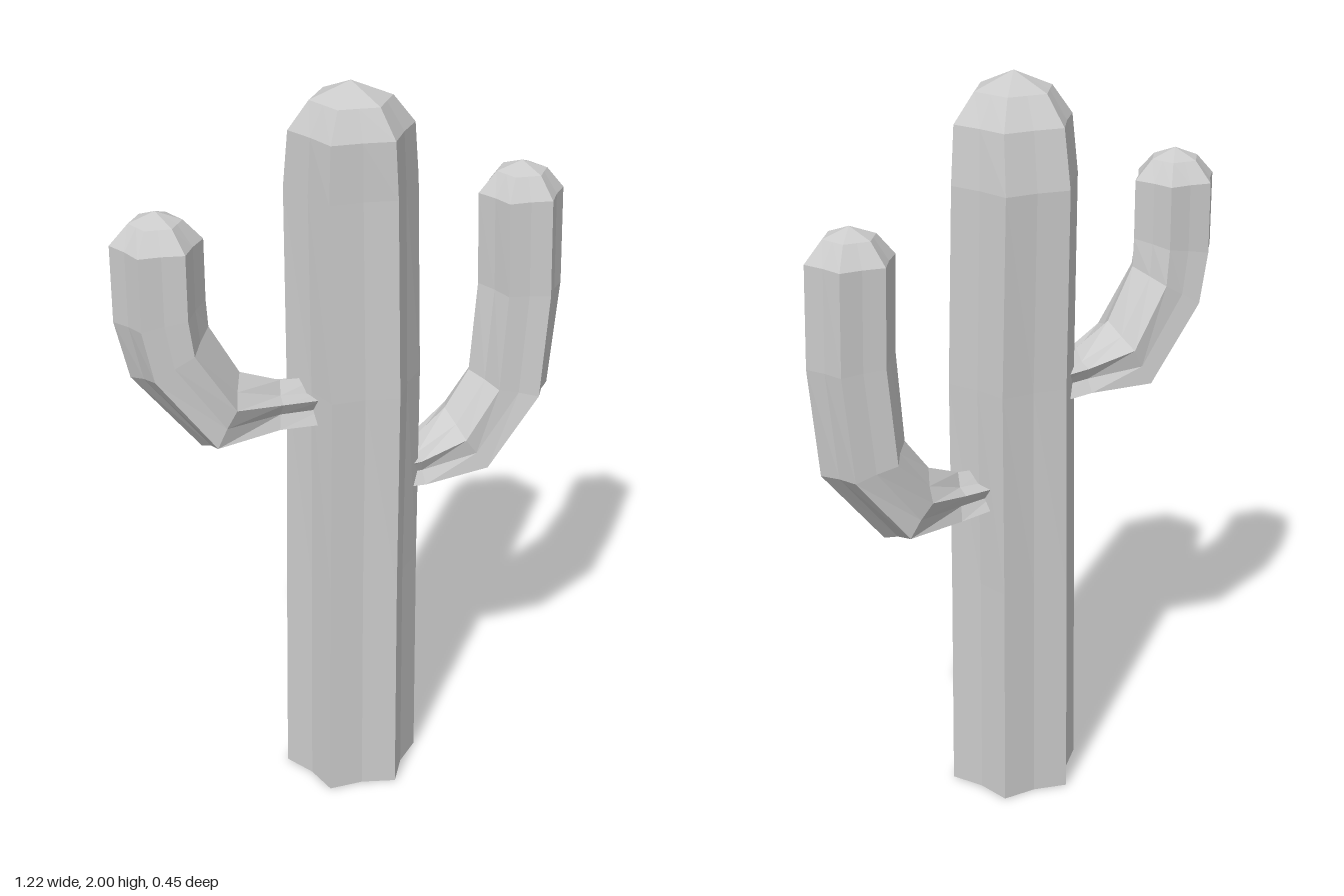
import * as THREE from 'three';

const RIBS = 6;
const SIDES = RIBS * 2;

// Lofts ribbed star rings into a closed, pointed limb.
// Ring: [x, y, z, radius in the bend plane, radius across it, tilt in degrees, groove ratio]
function ribbedLimb(name, rings, tip, material) {
  const pos = [];
  const index = [];
  for (const [x, y, z, ru, rv, tilt, groove] of rings) {
    const t = THREE.MathUtils.degToRad(tilt);
    for (let k = 0; k < SIDES; k++) {
      const a = (k / SIDES) * Math.PI * 2;
      const s = k % 2 ? groove : 1;
      const u = Math.cos(a) * ru * s;
      pos.push(x + u * Math.cos(t), y + u * Math.sin(t), z + Math.sin(a) * rv * s);
    }
  }
  const last = (rings.length - 1) * SIDES;
  const base = rings.length * SIDES;
  pos.push(...rings[0].slice(0, 3), ...tip);
  for (let k = 0; k < SIDES; k++) {
    const n = (k + 1) % SIDES;
    for (let o = 0; o < last; o += SIDES) {
      const a = o + k, b = o + n, c = a + SIDES, d = b + SIDES;
      index.push(a, c, d, a, d, b);
    }
    index.push(base, k, n); // base cap
    index.push(last + k, base + 1, last + n); // pointed tip
  }
  const indexed = new THREE.BufferGeometry();
  indexed.setAttribute('position', new THREE.Float32BufferAttribute(pos, 3));
  indexed.setIndex(index);
  const geometry = indexed.toNonIndexed();
  geometry.computeVertexNormals();
  const mesh = new THREE.Mesh(geometry, material);
  mesh.name = name;
  return mesh;
}

export function createModel() {
  const group = new THREE.Group();
  group.name = 'cactus';
  const material = new THREE.MeshStandardMaterial({ color: 0xcccccc, flatShading: true });

  // Slightly wavering trunk with a domed top
  group.add(ribbedLimb('trunk', [
    [0.005, 0, 0.025, 0.185, 0.184, 0, 0.8],
    [0.007, 0.64, 0.023, 0.18, 0.18, 0, 0.8],
    [0.012, 1.2, 0.02, 0.177, 0.178, 0, 0.82],
    [0.007, 1.73, 0.01, 0.172, 0.175, 0, 0.83],
    [0.005, 1.88, 0.025, 0.16, 0.157, 0, 0.84],
    [0.002, 1.955, 0.033, 0.105, 0.105, 0, 0.86],
  ], [0, 2, 0.037], material));

  // Lower arm: pinched at the trunk, then bending upwards
  group.add(ribbedLimb('leftArm', [
    [0.1, 0.9, -0.015, 0.06, 0.08, -88, 0.6],
    [0.2, 0.9, -0.035, 0.072, 0.088, -80, 0.65],
    [0.35, 0.935, -0.09, 0.108, 0.137, -55, 0.82],
    [0.47, 1.09, -0.115, 0.115, 0.13, -15, 0.83],
    [0.495, 1.36, -0.125, 0.115, 0.116, -4, 0.83],
    [0.49, 1.62, -0.13, 0.115, 0.113, 0, 0.83],
    [0.49, 1.677, -0.13, 0.068, 0.068, 0, 0.86],
  ], [0.49, 1.703, -0.13], material));

  // Upper arm on the other side
  group.add(ribbedLimb('rightArm', [
    [-0.08, 1.15, 0.045, 0.07, 0.08, 88, 0.6],
    [-0.2, 1.16, 0.065, 0.07, 0.088, 82, 0.65],
    [-0.35, 1.18, 0.1, 0.112, 0.137, 63, 0.82],
    [-0.475, 1.36, 0.115, 0.116, 0.125, 31, 0.83],
    [-0.495, 1.475, 0.12, 0.116, 0.118, 10, 0.83],
    [-0.495, 1.655, 0.12, 0.114, 0.116, 0, 0.83],
    [-0.495, 1.708, 0.12, 0.066, 0.067, 0, 0.86],
  ], [-0.495, 1.735, 0.12], material));

  return group;
}
